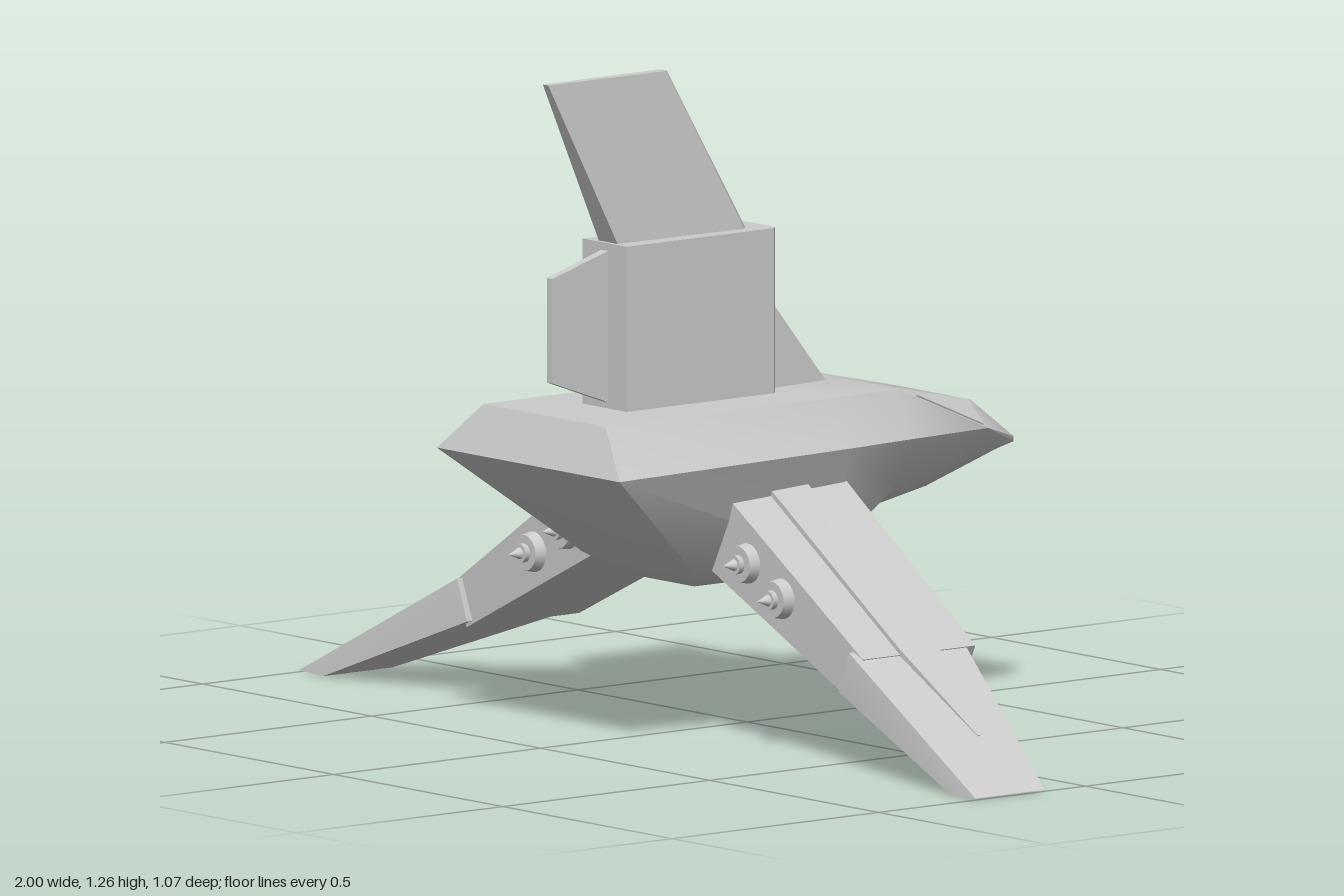
import * as THREE from 'three';
import { toCreasedNormals } from 'three/addons/utils/BufferGeometryUtils.js';

const material = new THREE.MeshStandardMaterial({ color: 0xcccccc });

// Closed solid through rings of equal, even point count; faces turned outward by signed volume.
function loft(rings, crease = 0.3) {
  const n = rings[0].length;
  const tris = [];
  const quad = (a, b, c, d, flip) => {
    if (flip) tris.push([a, b, d], [b, c, d]);
    else tris.push([a, b, c], [a, c, d]);
  };
  for (let i = 0; i < rings.length - 1; i++) {
    for (let j = 0; j < n; j++) {
      const k = (j + 1) % n;
      quad(rings[i][j], rings[i][k], rings[i + 1][k], rings[i + 1][j], j >= n / 2);
    }
  }
  const first = rings[0], last = rings[rings.length - 1];
  for (let j = 0; j < n / 2 - 1; j++) {
    quad(first[n - 1 - j], first[n - 2 - j], first[j + 1], first[j]);
    quad(last[j], last[j + 1], last[n - 2 - j], last[n - 1 - j]);
  }
  const vec = p => new THREE.Vector3(...p);
  let volume = 0;
  for (const [a, b, c] of tris) volume += vec(a).dot(vec(b).cross(vec(c)));
  if (volume < 0) tris.forEach(t => t.reverse());
  const geometry = new THREE.BufferGeometry();
  geometry.setAttribute('position', new THREE.Float32BufferAttribute(tris.flat(2), 3));
  return toCreasedNormals(geometry, crease);
}

// Half ring on +x completed by its mirror image.
const mirrored = half => [...half, ...half.map(([x, y, z]) => [-x, y, z]).reverse()];

// Thin raised panel over four corner points.
function plate(points, scale) {
  const v = points.map(p => new THREE.Vector3(...p));
  const centre = v.reduce((s, p) => s.add(p), new THREE.Vector3()).divideScalar(4);
  const normal = v[2].clone().sub(v[0]).cross(v[3].clone().sub(v[1])).normalize();
  if (normal.dot(centre.clone().sub(new THREE.Vector3(0, 0.5, -0.2))) < 0) normal.negate();
  const ring = d => v.map(p => p.clone().lerp(centre, 1 - scale).addScaledVector(normal, d).toArray());
  return loft([ring(-0.006), ring(0.003)]);
}

export function createModel() {
  const model = new THREE.Group();
  const add = (name, geometry, parent = model) => {
    const mesh = new THREE.Mesh(geometry, material);
    mesh.name = name;
    parent.add(mesh);
    return mesh;
  };

  // Hull: deck edge, shoulder, chine and keel at each station from stern to nose
  add('hull', loft([
    [[0.18, 0.63, 0.49], [0.27, 0.54, 0.53], [0.165, 0.33, 0.265], [0.1, 0.29, 0.21]],
    [[0.18, 0.63, -0.06], [0.23, 0.54, -0.06], [0.165, 0.33, -0.06], [0.1, 0.29, -0.06]],
    [[0.18, 0.63, -0.22], [0.215, 0.54, -0.22], [0.165, 0.44, -0.22], [0.1, 0.4, -0.22]],
    [[0.11, 0.58, -0.45], [0.2, 0.54, -0.42], [0.16, 0.465, -0.36], [0.1, 0.425, -0.35]],
    [[0.118, 0.51, -0.53], [0.135, 0.505, -0.534], [0.133, 0.495, -0.535], [0.115, 0.49, -0.535]],
  ].map(mirrored), 0.7));

  // Cockpit windows
  add('windshield', plate([[-0.11, 0.58, -0.45], [0.11, 0.58, -0.45], [0.118, 0.51, -0.53], [-0.118, 0.51, -0.53]], 0.9));
  for (const s of [1, -1]) {
    add(s > 0 ? 'leftWindow' : 'rightWindow', plate([[0.171, 0.624, -0.25], [0.11, 0.58, -0.45],
      [0.2, 0.54, -0.42], [0.183, 0.617, -0.25]].map(([x, y, z]) => [s * x, y, z]), 0.88));
  }

  // Tail: chamfered block, front fillet, rear plate and swept fin
  const tailRing = y => mirrored([[0.055, y, -0.022], [0.065, y, -0.012], [0.065, y, 0.345]]);
  add('tailBlock', loft([tailRing(0.62), tailRing(0.943)]));
  add('tailFillet', loft([
    mirrored([[0.003, 0.62, -0.195], [0.022, 0.62, 0]]),
    mirrored([[0.003, 0.835, -0.022], [0.005, 0.835, 0]]),
  ]));
  add('tailRearPlate', loft([
    mirrored([[0.01, 0.93, 0.34], [0.01, 0.64, 0.34]]),
    mirrored([[0.008, 0.888, 0.478], [0.008, 0.69, 0.478]]),
  ]));
  add('tailFin', loft([
    mirrored([[0.018, 0.94, 0.018], [0.036, 0.94, 0.035], [0.028, 0.94, 0.335]]),
    mirrored([[0.006, 1.256, 0.2], [0.012, 1.256, 0.206], [0.008, 1.256, 0.488]]),
  ]));

  // Drooping wings
  for (const s of [1, -1]) {
    const wing = new THREE.Group();
    wing.name = s > 0 ? 'leftWing' : 'rightWing';
    model.add(wing);

    // Section from upper (x, y), lower (x, y), leading z and trailing z
    const section = (ux, uy, lx, ly, z0, z1) =>
      [[ux, uy, z0], [ux, uy, z1], [lx, ly, z1], [lx, ly, z0]].map(([x, y, z]) => [s * x, y, z]);
    add('innerWing', loft([
      section(0.17, 0.5, 0.12, 0.35, -0.072, 0.22),
      section(0.605, 0.213, 0.567, 0.132, -0.057, 0.215),
    ]), wing);
    add('outerWing', loft([
      section(0.58, 0.224, 0.55, 0.146, -0.045, 0.228),
      section(1, 0.003, 0.93, 0, 0.098, 0.266),
    ]), wing);

    // Raised spine tapering to a point on the outer wing
    const spine = (x, y, z0, z1, h) => section(x, y + h, x - 0.02, y - 0.02, z0, z1);
    add('wingSpine', loft([
      spine(0.17, 0.5, 0.03, 0.122, 0.012),
      spine(0.605, 0.213, 0.035, 0.125, 0.01),
      spine(0.84, 0.087, 0.124, 0.129, 0.002),
    ]), wing);

    // Thrusters on the trailing face
    for (const [x, y] of [[0.267, 0.355], [0.367, 0.3]]) {
      const thruster = new THREE.Group();
      thruster.name = 'thruster';
      thruster.position.set(s * x, y, 0.2);
      thruster.rotation.x = Math.PI / 2;
      wing.add(thruster);
      add('thrusterHousing', new THREE.CylinderGeometry(0.034, 0.042, 0.04, 24), thruster).position.y = 0.02;
      add('thrusterCollar', new THREE.CylinderGeometry(0.018, 0.018, 0.014, 20), thruster).position.y = 0.044;
      add('thrusterSpike', new THREE.ConeGeometry(0.013, 0.03, 16), thruster).position.y = 0.062;
    }
  }

  return model;
}
